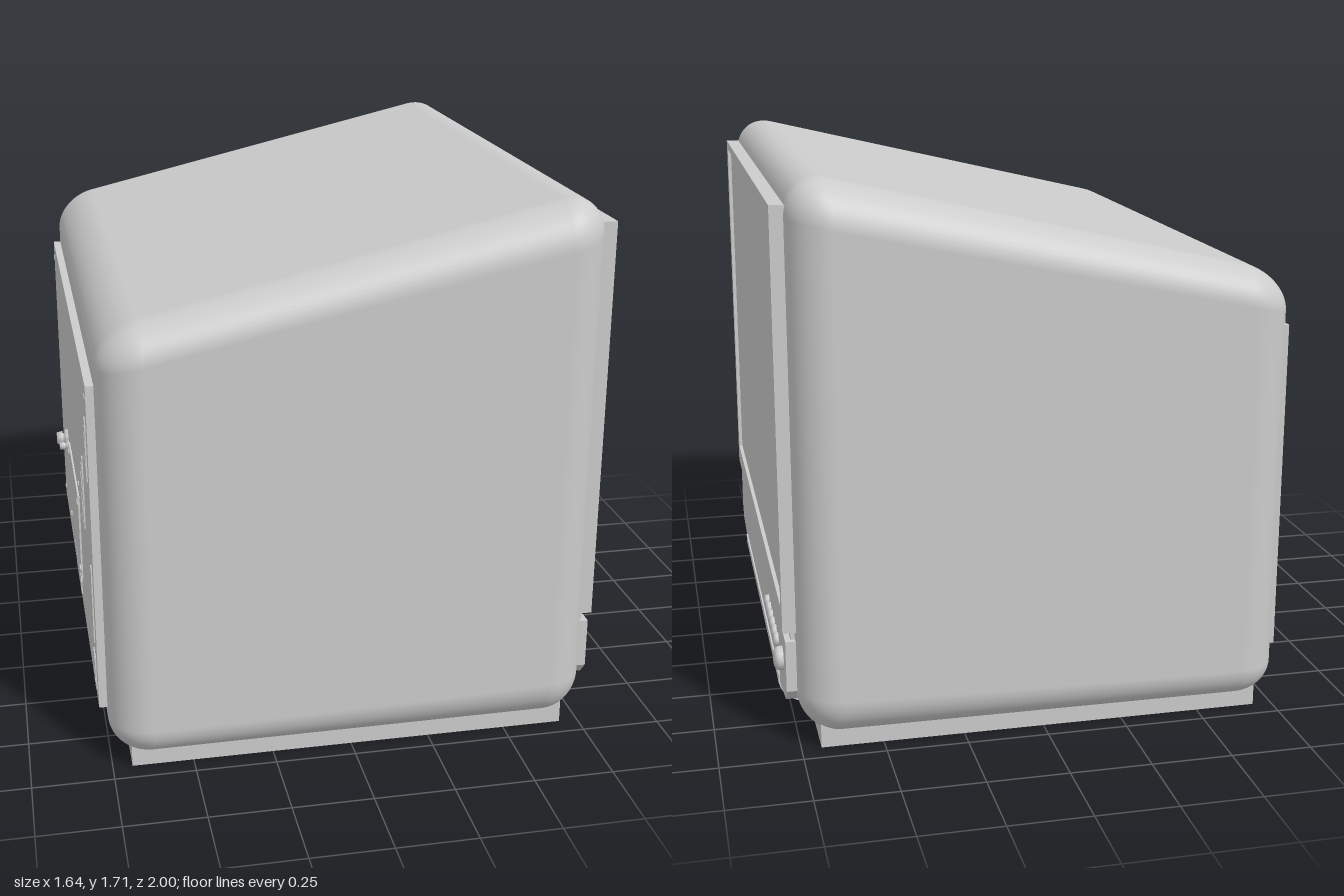
import * as THREE from 'three';
import { RoundedBoxGeometry } from 'three/addons/geometries/RoundedBoxGeometry.js';
import { mergeVertices } from 'three/addons/utils/BufferGeometryUtils.js';

const grey = new THREE.MeshStandardMaterial({ color: 0xcccccc });

export function createModel() {
  const root = new THREE.Group();

  const add = (name, geometry, x = 0, y = 0, z = 0) => {
    const mesh = new THREE.Mesh(geometry, grey);
    mesh.name = name;
    mesh.position.set(x, y, z);
    root.add(mesh);
    return mesh;
  };
  // box given by its limits on each axis
  const box = (name, x0, x1, y0, y1, z0, z1) =>
    add(name, new THREE.BoxGeometry(x1 - x0, y1 - y0, z1 - z0), (x0 + x1) / 2, (y0 + y1) / 2, (z0 + z1) / 2);
  const rect = (w, y0, y1) => [[-w, y0], [w, y0], [w, y1], [-w, y1]];
  // outline of [-z, y] points, extruded along x from x0 to x1
  const plate = (name, points, x0, x1, hole) => {
    const shape = new THREE.Shape(points.map(p => new THREE.Vector2(...p)));
    if (hole) shape.holes.push(new THREE.Path(hole.map(p => new THREE.Vector2(...p))));
    const g = new THREE.ExtrudeGeometry(shape, { depth: x1 - x0, bevelEnabled: false });
    return add(name, g.rotateY(Math.PI / 2), x0);
  };
  // turned part on the x axis; profile of [radius, height], dir 1 = screen side, -1 = back
  const turned = (name, profile, x, y, z, dir) => {
    const g = new THREE.LatheGeometry(profile.map(p => new THREE.Vector2(...p)), 24);
    return add(name, g.rotateZ(-dir * Math.PI / 2), x, y, z);
  };
  const domed = (r, h) => [[r, 0], [r, h * 0.45], [r * 0.9, h * 0.72], [r * 0.6, h * 0.92], [0, h]];

  // cabinet: soft box whose top rises towards the screen
  let body = new RoundedBoxGeometry(1.51, 1.6, 2, 8, 0.13);
  const p = body.attributes.position;
  for (let i = 0; i < p.count; i++) {
    const t = (p.getY(i) + 0.8) / 1.6;
    const top = 1.563 + 0.235 * p.getX(i);
    p.setY(i, 0.035 + t * (top - 0.035));
  }
  body.deleteAttribute('normal');
  body.deleteAttribute('uv');
  body.clearGroups();
  body = mergeVertices(body, 1e-4);
  body.computeVertexNormals();
  add('cabinet', body);

  box('base', -0.69, 0.69, 0, 0.075, -0.937, 0.937);

  // screen side
  plate('screenFrame', rect(0.895, 0.36, 1.638), 0.74, 0.793, rect(0.853, 0.43, 1.61));
  box('screen', 0.74, 0.781, 0.42, 1.62, -0.86, 0.86);
  box('frameGap', 0.72, 0.768, 0.32, 0.37, -0.875, 0.875);
  plate('controlPanel', [
    [-0.89, 0.33], [-0.89, 0.17], [-0.855, 0.13], [-0.66, 0.095],
    [0.66, 0.095], [0.855, 0.13], [0.89, 0.17], [0.89, 0.33],
  ], 0.72, 0.785);

  // curved lip under the control panel
  const lip = new THREE.Shape();
  lip.moveTo(0.68, 0.125);
  lip.lineTo(0.79, 0.125);
  lip.lineTo(0.79, 0.095);
  lip.quadraticCurveTo(0.775, 0.03, 0.69, 0.02);
  const lipGeometry = new THREE.ExtrudeGeometry(lip, { depth: 1.32, bevelEnabled: false, curveSegments: 8 });
  add('lowerLip', lipGeometry, 0, 0, -0.66);

  for (let i = 0; i < 6; i++) turned('button', domed(0.022, 0.02), 0.783, 0.235, -0.32 - i * 0.064, 1);
  turned('powerKnob', domed(0.037, 0.032), 0.783, 0.235, -0.785, 1);

  // back panel and its fittings
  box('backPanel', -0.78, -0.72, 0.175, 1.22, -0.87, 0.87);
  box('accessPlate', -0.786, -0.77, 0.31, 0.61, -0.286, 0.237);
  for (const z of [-0.26, 0.21])
    for (const y of [0.338, 0.582]) turned('plateScrew', domed(0.014, 0.007), -0.785, y, z, -1);
  for (const z of [-0.82, 0.82])
    for (const y of [0.22, 1.17]) turned('panelScrew', domed(0.012, 0.005), -0.779, y, z, -1);
  turned('smallStud', domed(0.011, 0.006), -0.779, 0.66, 0.237, -1);
  plate('ratingPlate', [[-0.15, 0.21], [0.11, 0.21], [0.14, 0.235], [0.14, 0.285], [-0.12, 0.285], [-0.15, 0.26]],
    -0.784, -0.77);

  // aerial sockets
  const socket = (r, h) => [[r * 1.25, 0], [r * 1.25, h * 0.3], [r * 0.7, h * 0.3], [r * 0.7, h * 0.5], [r, h * 0.5], [r * 0.85, h], [0, h]];
  turned('largeSocket', socket(0.026, 0.042), -0.779, 0.568, -0.448, -1);
  turned('smallSocket', socket(0.015, 0.036), -0.779, 0.565, -0.372, -1);

  // vent ribs: [z, lowest y, highest y]
  const vents = [
    [0.46, 0.64, 0.79], [0.505, 0.64, 0.84], [0.55, 0.64, 0.88],
    [0.76, 0.93, 1.06], [0.8, 0.9, 1.1],
    [0.8, 0.37, 0.62],
    [0.76, 0.21, 0.32], [0.8, 0.21, 0.32],
  ];
  for (const [z, y0, y1] of vents) box('ventRib', -0.784, -0.77, y0, y1, z - 0.012, z + 0.012);

  return root;
}
